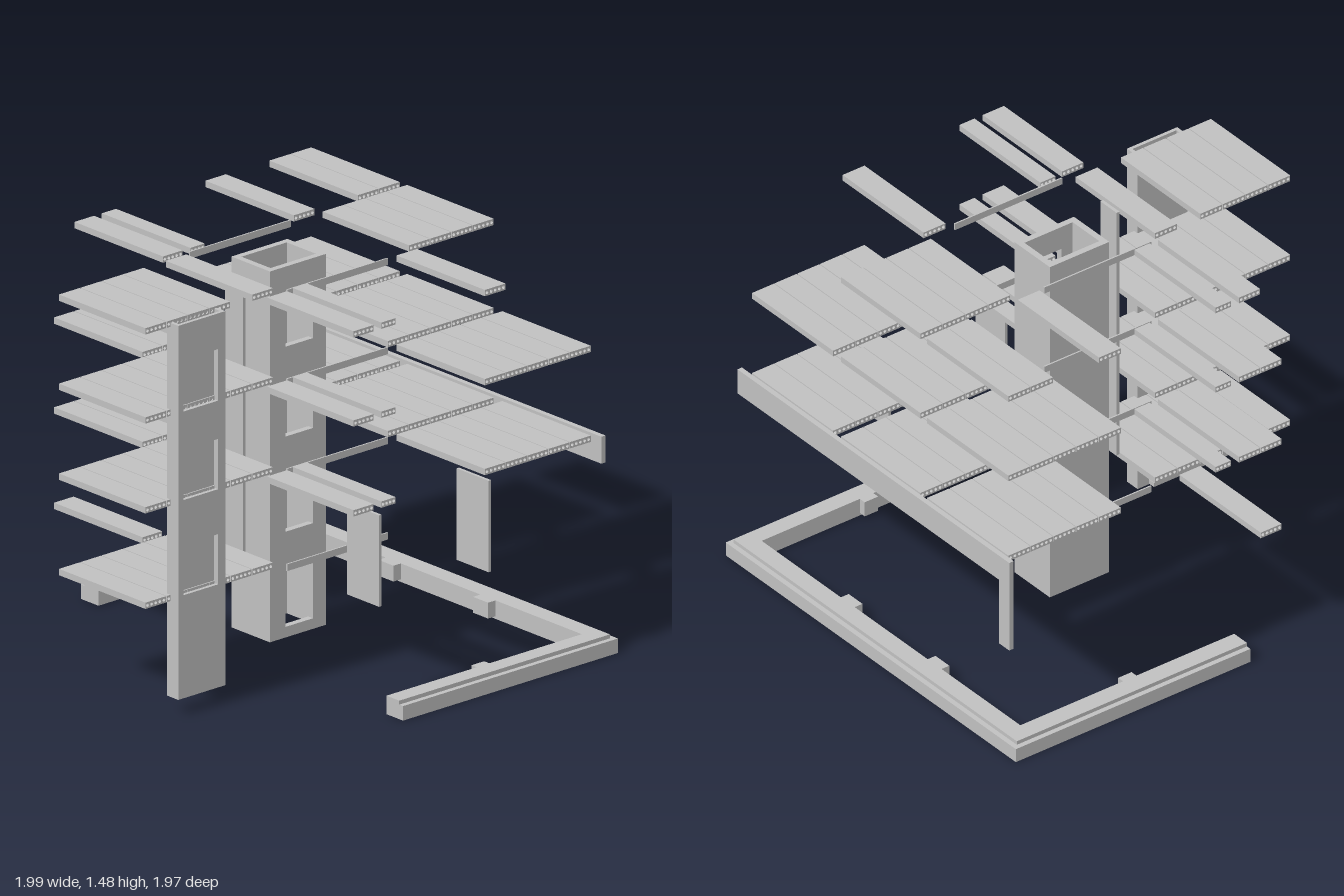
import * as THREE from 'three';

export function createModel() {
  const model = new THREE.Group();
  const plan = new THREE.Group(); // plan axes are turned relative to the frame
  plan.name = 'building';
  plan.rotation.y = -0.866;
  model.add(plan);
  const concrete = new THREE.MeshStandardMaterial({ color: 0xc0c0c0 });
  concrete.name = 'concrete';

  const add = (name, geo) => {
    const mesh = new THREE.Mesh(geo, concrete);
    mesh.name = name;
    plan.add(mesh);
    return mesh;
  };
  // box from its two extreme corners
  const box = (name, x0, x1, y0, y1, z0, z1) =>
    add(name, new THREE.BoxGeometry(x1 - x0, y1 - y0, z1 - z0))
      .position.set((x0 + x1) / 2, (y0 + y1) / 2, (z0 + z1) / 2);
  const rect = (C, x0, x1, y0, y1) => {
    const c = new C();
    c.moveTo(x0, y0); c.lineTo(x1, y0); c.lineTo(x1, y1); c.lineTo(x0, y1); c.closePath();
    return c;
  };

  // hollow-core floor slab running along x
  const T = 0.024;
  const slabGeo = (width, length) => {
    const s = rect(THREE.Shape, -width / 2, width / 2, 0, T);
    const n = Math.round(width / 0.018);
    for (let i = 0; i < n; i++) {
      const h = new THREE.Path();
      h.absarc((i + 0.5 - n / 2) * width / n, T / 2, 0.0065, 0, Math.PI * 2, true);
      s.holes.push(h);
    }
    const g = new THREE.ExtrudeGeometry(s, { depth: length, bevelEnabled: false, curveSegments: 4 });
    g.rotateY(Math.PI / 2);
    return g;
  };
  const slab = (x0, x1, z0, z1, y) =>
    add('floorSlab', slabGeo(z1 - z0, x1 - x0)).position.set(x0, y, (z0 + z1) / 2);

  // bottom heights of the four floors and x ranges of the three bays
  const levels = [0.422, 0.783, 1.123, 1.46];
  const bays = [[-0.712, -0.242], [-0.203, 0.256], [0.302, 0.771]];
  const all = [0, 1, 2, 3, 4];
  const topBays = [[0, 3, 4], [1, 2, 3, 4], [0]];
  levels.forEach((y, f) => {
    // main deck
    if (f > 0) bays.forEach(([x0, x1], b) => {
      for (const i of f === 3 ? topBays[b] : all) {
        const z = -0.025 - i * 0.1015;
        slab(x0, x1, z - 0.098, z, y);
      }
    });
    // projecting deck
    for (let i = 0; i < 6; i++) {
      if (f === 3 && i === 1) continue;
      const z = 0.522 + i * 0.1017;
      slab(bays[1][0], bays[1][1], z, z + 0.098, y);
    }
    // narrow side strips
    const [l0, l1] = bays[0], [r0, r1] = bays[2];
    if (f < 3) slab(l0, l1, 0.602, 0.695, y);
    if (f > 0) {
      slab(l0, l1, 0.505, 0.598, y);
      slab(l0, l1, 0.4, 0.468, y);
      slab(r0 + 0.01, r1, 0.505, 0.6, y);
      slab(r0, r1, 0.4, 0.468, y);
    }
    // thin tie beams beside the core
    for (const x of [-0.228, 0.288]) box('tieBeam', x - 0.003, x + 0.003, y - 0.008, y + 0.018, 0.005, 0.485);
  });
  box('landingBeam', -0.2, -0.17, 0.405, 0.422, 0.52, 0.92);

  // hollow shaft whose +x wall has door openings [z0, z1, y0, y1]
  const shaft = (name, x0, x1, y0, y1, z0, z1, t, doors) => {
    const s = rect(THREE.Shape, -z1, -z0, y0, y1);
    doors.forEach(([a, b, c, d]) => s.holes.push(rect(THREE.Path, -b, -a, c, d)));
    const g = new THREE.ExtrudeGeometry(s, { depth: t, bevelEnabled: false });
    g.rotateY(Math.PI / 2);
    add(name + 'DoorWall', g).position.x = x1 - t;
    box(name + 'BackWall', x0, x0 + t, y0, y1, z0, z1);
    box(name + 'SideWall', x0 + t, x1 - t, y0, y1, z0, z0 + t);
    box(name + 'SideWall', x0 + t, x1 - t, y0, y1, z1 - t, z1);
  };
  shaft('core', -0.122, 0.082, 0.06, 1.463, 0.114, 0.38, 0.025,
    [[0.1, 0.335], [0.46, 0.67], [0.82, 1.03], [1.16, 1.37]].map(([a, b]) => [0.175, 0.305, a, b]));
  shaft('outerShaft', 0.237, 0.298, 0.06, 1.475, 0.785, 1.01, 0.014,
    [[0.45, 0.64], [0.81, 1.0], [1.145, 1.34]].map(([a, b]) => [0.82, 0.985, a, b]));

  // slender wall post beside the projecting deck
  box('wallPost', 0, 0.095, 0.44, 1.47, 0.508, 0.521);

  // edge beam with its end post, and free-standing wall panels
  box('edgeBeam', -0.757, 0.815, 0.71, 0.812, -0.56, -0.54);
  box('edgePost', -0.757, -0.697, 0.44, 0.71, -0.56, -0.54);
  for (const z of [0.51, -0.012]) box('wallPanel', 0.642, 0.812, 0.432, 0.778, z - 0.006, z + 0.006);

  // U-shaped ground beam: wide footing with an upstand set in from the outside
  const ring = (o, y0, y1) => {
    box('groundBeamBack', -0.812 + o, 0.866 - o, y0, y1, -0.573 + o, -0.48);
    box('groundBeamSide', -0.812 + o, -0.718, y0, y1, -0.48, 0.478);
    box('groundBeamSide', 0.778, 0.866 - o, y0, y1, -0.48, 0.45);
  };
  ring(0, 0, 0.055);
  ring(0.02, 0.055, 0.07);
  // column pads on the inside of the ground beam
  box('columnPad', -0.718, -0.69, 0.01, 0.07, -0.02, 0.04);
  box('columnPad', 0.75, 0.778, 0.01, 0.07, -0.04, 0.02);
  for (const x of [-0.222, 0.28]) box('columnPad', x - 0.04, x + 0.04, 0.01, 0.07, -0.48, -0.445);

  return model;
}
